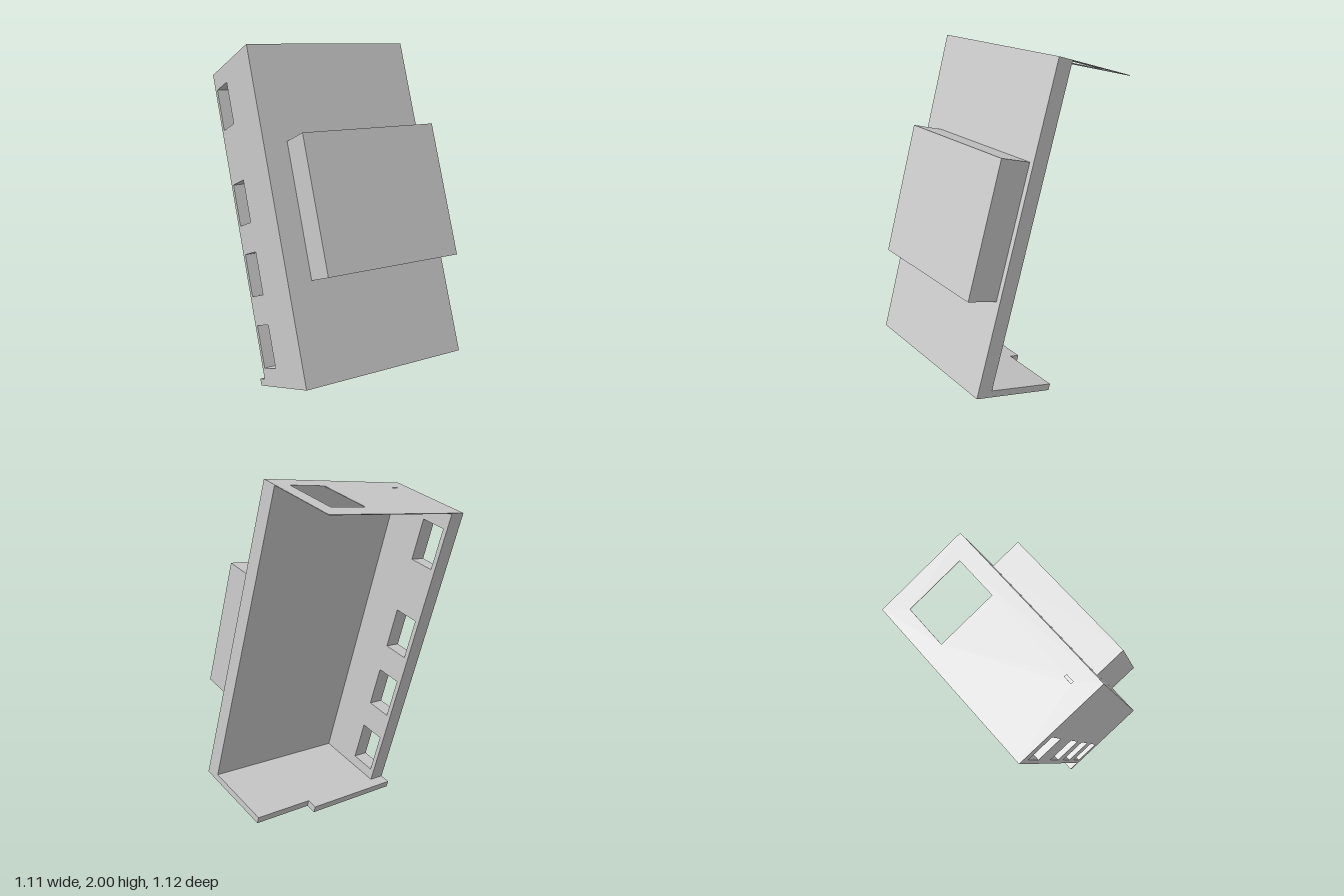
import * as THREE from 'three';

// Body sizes in its own tilted frame: x across, y up, depth measured backwards from the front face
const W = 1.017, H = 1.872, D = 0.535;
const PANEL = 0.095, WALL = 0.1, FLOOR = 0.04, ROOF = 0.004;

const polygon = (Type, pts) => new Type(pts.map(([x, y]) => new THREE.Vector2(x, y)));
const rect = (x0, y0, x1, y1) => [[x0, y0], [x1, y0], [x1, y1], [x0, y1]];

// Flat slab from an outline with rectangular holes
function slab(outline, holes, thickness) {
  const shape = polygon(THREE.Shape, outline);
  holes.forEach((h) => shape.holes.push(polygon(THREE.Path, rect(...h))));
  return new THREE.ExtrudeGeometry(shape, { depth: thickness, bevelEnabled: false });
}

// Box between two corners
function box(x0, y0, z0, x1, y1, z1) {
  return new THREE.BoxGeometry(x1 - x0, y1 - y0, z1 - z0)
    .translate((x0 + x1) / 2, (y0 + y1) / 2, (z0 + z1) / 2);
}

export function createModel() {
  const model = new THREE.Group();
  const body = new THREE.Group();
  body.name = 'tiltedBody';
  model.add(body);

  const material = new THREE.MeshStandardMaterial({ color: 0xcccccc });
  const add = (name, geometry) => {
    const mesh = new THREE.Mesh(geometry, material);
    mesh.name = name;
    body.add(mesh);
  };

  // Front panel and the raised block on it
  add('frontPanel', box(0, FLOOR, -PANEL, W, H - ROOF, 0));
  add('frontBlock', box(0.141, 0.555, 0, 0.987, 1.322, 0.19));

  // Side wall with four windows, outline drawn as (depth, height)
  const windows = [0.105, 0.524, 0.942, 1.522].map((y) => [0.351, y, 0.507, y + 0.248]);
  add('sideWall', slab(rect(PANEL, FLOOR, D, H - ROOF), windows, WALL).rotateY(Math.PI / 2));

  // Floor with a step in its back edge, outline drawn as (across, depth)
  const floor = [[0, 0], [W, 0], [W, D], [0.637, D], [0.637, 0.6], [0, 0.6]];
  add('floor', slab(floor, [], FLOOR).rotateX(-Math.PI / 2));

  // Thin roof sheet with a large opening and a small slot
  const openings = [[0.676, PANEL, 0.916, 0.432], [0.105, PANEL, 0.15, 0.109]];
  add('roof', slab(rect(0, 0, W, D), openings, ROOF)
    .rotateX(-Math.PI / 2).translate(0, H - ROOF, 0));

  // Lean the whole body back and turn it slightly
  const up = new THREE.Vector3(-0.0417, 0.9534, -0.299).normalize();
  const front = new THREE.Vector3(0.998, 0.0295, -0.0442).cross(up).normalize();
  const across = up.clone().cross(front);
  body.quaternion.setFromRotationMatrix(new THREE.Matrix4().makeBasis(across, up, front));
  body.position.set(-0.461, 0.182, 0.55);

  return model;
}
